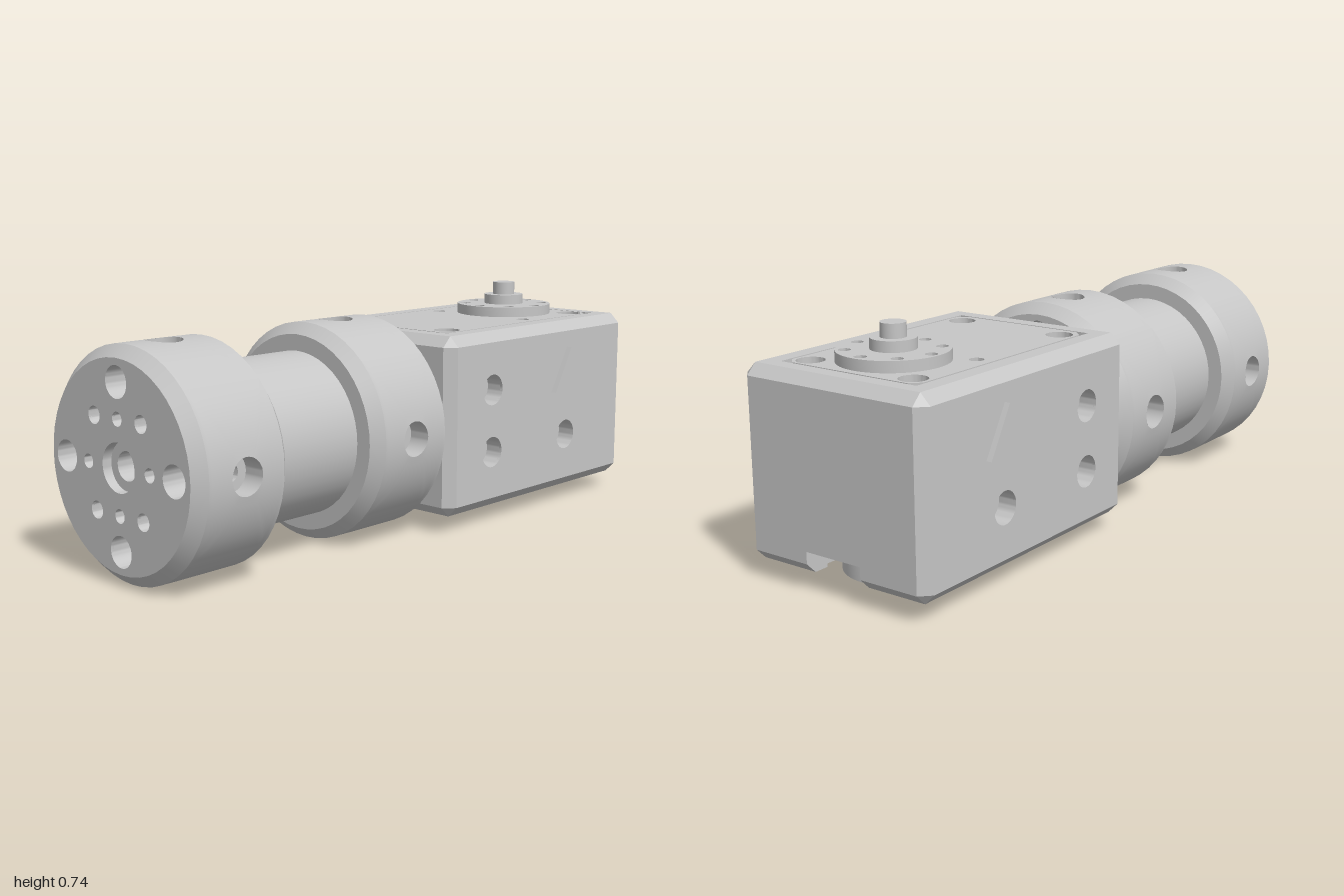
import * as THREE from 'three';
import { toCreasedNormals } from 'three/addons/utils/BufferGeometryUtils.js';

const metal = new THREE.MeshStandardMaterial({ color: 0xc6c6c6, side: THREE.DoubleSide });
metal.name = 'light grey metal';

const R = 0.342, AXIS_Y = 0.342;
const HALF = [0.332, 0.29, 0.485], CHAMFER = 0.033;
const BOX_Y = 0.343, BOX_Z = -0.515, HUB_Z = -0.725;

function mesh(name, geometry) {
  const m = new THREE.Mesh(geometry, metal);
  m.name = name;
  return m;
}

const poly = pts => new THREE.Shape(pts.map(p => new THREE.Vector2(...p)));
const rect = (x0, y0, x1, y1) => poly([[x0, y0], [x1, y0], [x1, y1], [x0, y1]]);
const circle = r => new THREE.Shape().absarc(0, 0, r, 0, Math.PI * 2);

// Blind hole opening at y = 0, with an optional narrower step; bends its rim to a cylinder if given
function cup(r, d, r2 = 0, d2 = d, bend = 0) {
  const pts = [[r, 0], [r, -d], ...(r2 ? [[r2, -d], [r2, -d2]] : []), [0, -d2]];
  const g = new THREE.LatheGeometry(pts.map(p => new THREE.Vector2(...p)), 48);
  const p = g.attributes.position;
  for (let i = 0; bend && i < p.count; i++) {
    if (p.getY(i) === 0) p.setY(i, Math.sqrt(bend * bend - p.getX(i) ** 2) - bend);
  }
  return mesh('hole', toCreasedNormals(g, 0.6));
}

// Flat plate facing +z with its front at z = 0; holes are [x, y, r, depth, r2, depth2]
function plate(name, shape, depth, holes = []) {
  const group = new THREE.Group();
  group.name = name;
  for (const [x, y, r, ...rest] of holes) {
    shape.holes.push(new THREE.Path().absarc(x, y, r, 0, Math.PI * 2, true));
    const c = cup(r, ...rest);
    c.rotation.x = Math.PI / 2;
    c.position.set(x, y, 0);
    group.add(c);
  }
  const g = new THREE.ExtrudeGeometry(shape, { depth, bevelEnabled: false, curveSegments: 24 });
  g.translate(0, 0, -depth);
  group.add(mesh(name + 'Plate', toCreasedNormals(g, 0.6)));
  return group;
}

function place(group, x, y, z, rx = 0, ry = 0) {
  group.position.set(x, y, z);
  group.rotation.set(rx, ry, 0);
  return group;
}

function cylinder(name, r, length, topR = r, open = false) {
  return mesh(name, new THREE.CylinderGeometry(topR, r, length, 48, 1, open));
}

// Quarter of the flange rim: rings running from the round hole out to the patch edge
function rimQuarter(holeR, halfZ) {
  const g = new THREE.PlaneGeometry(1, 1, 48, 8), p = g.attributes.position, uv = g.attributes.uv;
  const halfU = R * Math.PI / 4;
  for (let i = 0; i < p.count; i++) {
    const w = (uv.getX(i) * 4) % 4, side = Math.floor(w + 1e-6), f = (w - side) * 2 - 1;
    const [a, b] = [[f, -1], [1, f], [-f, 1], [-1, -f]][side % 4];
    const ang = Math.atan2(b * halfZ, a * halfU), k = uv.getY(i);
    const u = THREE.MathUtils.lerp(Math.cos(ang) * holeR, a * halfU, k);
    const v = THREE.MathUtils.lerp(Math.sin(ang) * holeR, b * halfZ, k);
    p.setXYZ(i, R * Math.sin(u / R), R * Math.cos(u / R), v);
  }
  g.computeVertexNormals();
  return g;
}

// Chamfered flange with four radial holes and a drilled face on +z
function flange(name) {
  const group = new THREE.Group();
  group.name = name;
  for (let k = 0; k < 4; k++) {
    const quarter = new THREE.Group();
    quarter.name = 'rimQuarter';
    const hole = cup(0.055, 0.07, 0.026, 0.14, R);
    hole.position.y = R;
    quarter.add(mesh('rim', rimQuarter(0.055, 0.135)), hole);
    quarter.rotation.z = k * Math.PI / 2;
    group.add(quarter);
  }
  for (const s of [-1, 1]) {
    const edge = cylinder('chamfer', R, 0.035, 0.307, true);
    edge.rotation.x = s * Math.PI / 2;
    edge.position.z = s * 0.1525;
    group.add(edge);
  }
  const holes = [[0, 0, 0.072, 0.03, 0.043, 0.1]];
  for (const s of [-1, 1]) {
    holes.push([s * 0.24, 0, 0.047, 0.08], [0, s * 0.24, 0.047, 0.08]);
    holes.push([s * 0.137, 0, 0.021, 0.05], [0, s * 0.137, 0.021, 0.05]);
    for (const t of [-1, 1]) holes.push([s * 0.104, t * 0.136, 0.026, 0.05]);
  }
  group.add(place(plate('face', circle(0.307), 0.01, holes), 0, 0, 0.17));
  group.add(place(mesh('backFace', new THREE.RingGeometry(0.25, 0.307, 48)), 0, 0, -0.17, 0, Math.PI));
  return group;
}

// Chamfer strips and corners of the gearbox, leaving the rear notch open
function chamfers() {
  const v = [], c = CHAMFER;
  const tri = (...pts) => pts.forEach(p => v.push(...p));
  for (let a = 0; a < 3; a++) {
    const b = (a + 1) % 3, d = (a + 2) % 3;
    for (const s of [-1, 1]) for (const t of [-1, 1]) {
      const at = (along, inB) => {
        const p = [0, 0, 0];
        p[a] = along;
        p[b] = s * (HALF[b] - (inB ? c : 0));
        p[d] = t * (HALF[d] - (inB ? 0 : c));
        return p;
      };
      const e = HALF[a] - c, notched = a === 0 && s < 0 && t < 0;
      for (const [lo, hi] of notched ? [[-e, -0.1], [0.1, e]] : [[-e, e]]) {
        tri(at(lo, 0), at(hi, 0), at(hi, 1), at(lo, 0), at(hi, 1), at(lo, 1));
      }
      if (notched) for (const x of [-0.1, 0.1]) {
        tri(at(x, 0), at(x, 1), [x, -HALF[1] + c, -HALF[2] + c]);
      }
    }
  }
  for (const x of [-1, 1]) for (const y of [-1, 1]) for (const z of [-1, 1]) {
    const s = [x, y, z];
    tri(...[0, 1, 2].map(k => HALF.map((h, i) => s[i] * (i === k ? h : h - c))));
  }
  const g = new THREE.BufferGeometry();
  g.setAttribute('position', new THREE.Float32BufferAttribute(v, 3));
  g.computeVertexNormals();
  return mesh('chamfers', g);
}

const boltCircle = r => Array.from({ length: 8 }, (_, i) =>
  [Math.cos(i * Math.PI / 4) * 0.137, Math.sin(i * Math.PI / 4) * 0.137, r, 0.028]);

// Rectangle with cut corners, used for the top cover and its groove
function coverOutline(inset) {
  const x = 0.24 - inset, y0 = 0.119 + inset, y1 = 0.913 - inset, c = 0.03;
  return poly([[c - x, y0], [x - c, y0], [x, y0 + c], [x, y1 - c], [x - c, y1],
    [c - x, y1], [-x, y1 - c], [-x, y0 + c]]);
}

function gearbox() {
  const box = new THREE.Group();
  box.name = 'gearbox';
  const q = Math.PI / 2, yTop = 0.633, yBot = 0.053;
  box.add(place(chamfers(), 0, BOX_Y, BOX_Z));

  // Front and notched back walls
  box.add(place(plate('frontWall', rect(-0.299, 0.086, 0.299, 0.6), 0.01), 0, 0, -0.03));
  const back = poly([[-0.299, 0.086], [-0.1, 0.086], [-0.1, 0.123], [0.1, 0.123], [0.1, 0.086],
    [0.299, 0.086], [0.299, 0.6], [-0.299, 0.6]]);
  box.add(place(plate('backWall', back, 0.08), 0, 0, -1, 0, Math.PI));

  // Side walls with screw holes and a raised triangle
  for (const s of [-1, 1]) {
    const holes = [[-0.243, 0.445], [-0.243, 0.24], [-0.652, 0.24]]
      .map(([z, y]) => [-s * z, y, 0.05, 0.06, 0.026, 0.12]);
    const wall = rect(Math.min(s * 0.063, s * 0.967), 0.086, Math.max(s * 0.063, s * 0.967), 0.6);
    box.add(place(plate('sideWall', wall, 0.01, holes), s * 0.332, 0, 0, 0, s * q));
    const mark = poly([[s * 0.567, 0.397], [s * 0.737, 0.397], [s * 0.652, 0.545]]);
    box.add(place(plate('raisedTriangle', mark, 0.02), s * 0.35, 0, 0, 0, s * q));
  }

  // Top frame, groove and inset cover (local y is -z)
  const corners = d => [-1, 1].flatMap(s => [0.863, 0.18].map(z =>
    [s * 0.188, d * z, 0.042, 0.07, 0.024, 0.1]));
  const frame = rect(-0.299, 0.063, 0.299, 0.967);
  frame.holes.push(rect(-0.247, 0.112, 0.247, 0.92));
  box.add(place(plate('topFrame', frame, 0.02), 0, yTop, 0, -q));
  const groove = rect(-0.26, 0.1, 0.26, 0.93);
  groove.holes.push(coverOutline(0.005));
  box.add(place(plate('grooveFloor', groove, 0.002), 0, yTop - 0.02, 0, -q));
  const small = [-1, 1].map(s => [s * 0.188, 0.59, 0.022, 0.04]);
  box.add(place(plate('topCover', coverOutline(0), 0.02, [...corners(1), ...small]), 0, yTop, 0, -q));

  // Output hub and stepped shaft
  box.add(place(plate('outputHub', circle(0.165), 0.04, boltCircle(0.018)), 0, 0.667, HUB_Z, -q));
  for (const [name, r, y0, y1] of [['shaftCollar', 0.068, 0.66, 0.7], ['shaft', 0.038, 0.69, 0.743]]) {
    box.add(place(cylinder(name, r, y1 - y0), 0, (y0 + y1) / 2, HUB_Z));
  }

  // Bottom frame, cover with a pocket before the hub and a cable notch at the back (local y is z)
  const rim = poly([[-0.1, -0.967], [-0.299, -0.967], [-0.299, -0.063], [0.299, -0.063],
    [0.299, -0.967], [0.1, -0.967], [0.1, -0.92], [0.245, -0.92], [0.245, -0.115],
    [-0.245, -0.115], [-0.245, -0.92], [-0.1, -0.92]]);
  box.add(place(plate('bottomFrame', rim, 0.07), 0, yBot, 0, q));
  const lower = poly([[0.1, -0.92], [0.1, -0.88], [-0.1, -0.88], [-0.1, -0.92],
    [-0.245, -0.92], [-0.245, -0.115], [0.245, -0.115], [0.245, -0.92]]);
  const half = [[0.1, -0.6], [0.2, -0.55], [0.2, -0.44], [0.14, -0.4], [0.1, -0.34]];
  lower.holes.push(poly([...half, ...half.map(([x, z]) => [-x, z]).reverse()]));
  box.add(place(plate('bottomCover', lower, 0.06, corners(-1)), 0, yBot + 0.01, 0, q));
  box.add(place(plate('pocketFloor', rect(-0.21, -0.61, 0.21, -0.33), 0.004), 0, 0.123, 0, q));
  box.add(place(plate('notchRoof', rect(-0.1, -0.99, 0.1, -0.87), 0.004), 0, 0.123, 0, q));
  const ring = [...boltCircle(0.016), [0, 0, 0.1, 0.03, 0.08, 0.07]];
  box.add(place(plate('bottomHub', circle(0.165), 0.103, ring), 0, 0.02, HUB_Z, q));
  return box;
}

export function createModel() {
  const model = new THREE.Group();
  model.name = 'gearedActuator';
  model.add(place(flange('frontFlange'), 0, AXIS_Y, 0.83));
  model.add(place(flange('rearFlange'), 0, AXIS_Y, 0.144, 0, Math.PI));
  model.add(place(cylinder('tube', 0.256, 0.37, 0.256, true), 0, AXIS_Y, 0.486, Math.PI / 2));
  model.add(place(cylinder('neck', 0.18, 0.01), 0, AXIS_Y, -0.03, Math.PI / 2));
  model.add(gearbox());
  return model;
}
